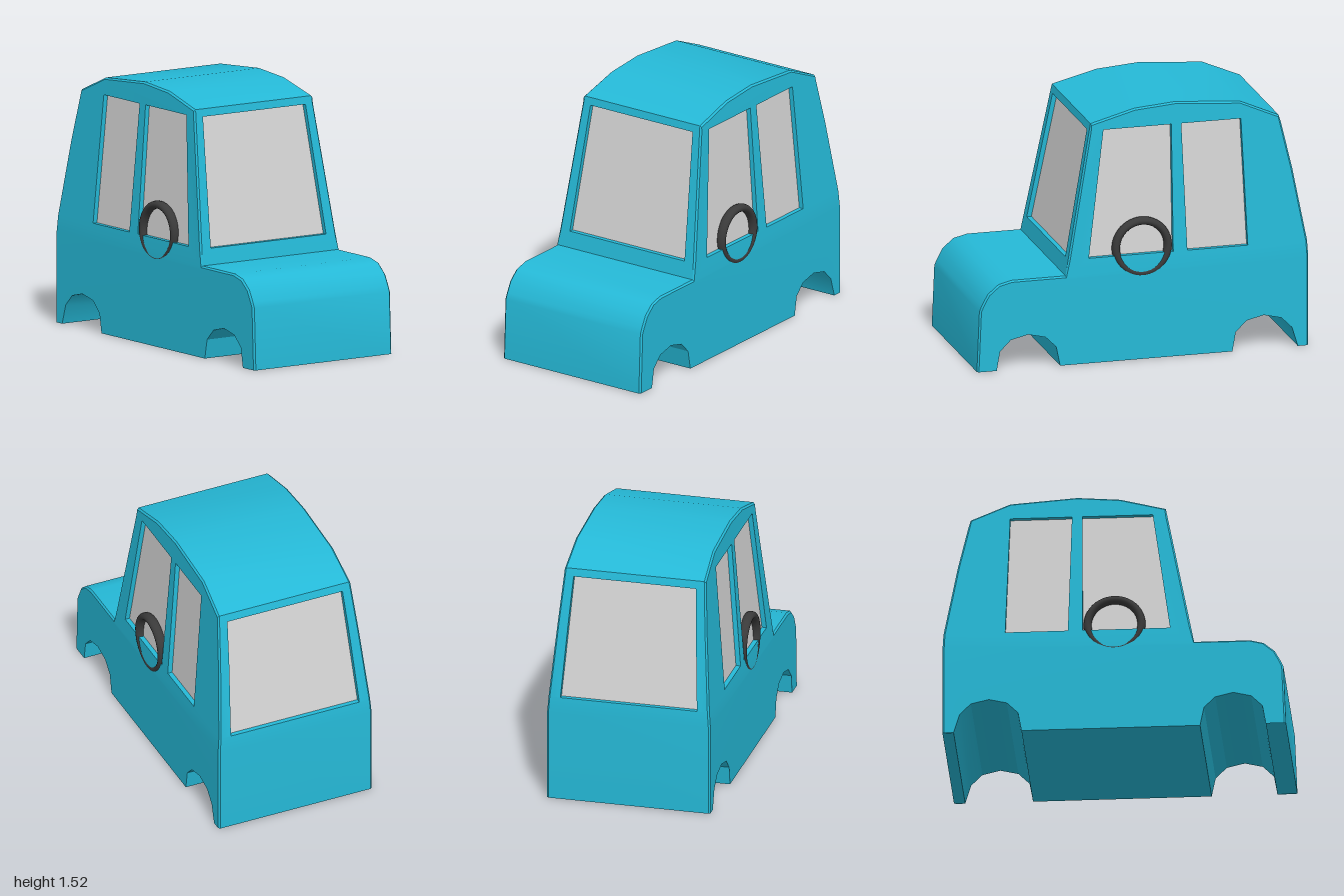
import * as THREE from 'three';
import { toCreasedNormals } from 'three/addons/utils/BufferGeometryUtils.js';

const BELT = 0.54, CHAMFER = 0.01, DEPTH = 0.028;
const SILL = 0.635, HEAD = 1.385, REAR_HEAD = 1.345;

// half width of the body, tapering above the belt line
const halfWidth = y => 0.49 - Math.max(0, y - BELT) * 0.078;
// half width of the front and rear window openings
const openWidth = y => 0.41 - (y - SILL) * 0.06;

// side outline as [z, y], from the front bumper over the roof to the back
const TOP = [
  [1, 0], [0.985, 0.365], [0.97, 0.4], [0.935, 0.465], [0.87, 0.52], [0.79, BELT],
  [0.465, BELT], [0.447, SILL], [0.304, HEAD], [0.295, 1.43],
  [0.03, 1.5], [-0.22, 1.52], [-0.61, 1.49], [-0.84, 1.39],
  [-0.853, REAR_HEAD], [-0.913, 1.08], [-0.995, SILL], [-1, BELT], [-1, 0],
];
const CORNER = 6, BACK = 17;
const WINDSCREEN = [7, 8], REAR = [14, 16];

// wheel arches along the underside, back to front
const ARCH = [[-0.205, 0], [-0.17, 0.115], [-0.105, 0.18], [0, 0.205], [0.105, 0.18], [0.17, 0.115], [0.19, 0]];
const UNDER = [
  ...ARCH.map(([z, y]) => [z - 0.73, y]),
  ...ARCH.map(([z, y], i) => [i ? z + 0.693 : 0.5, y]),
];

const SIDE_WINDOWS = [
  [[0.22, 1.39], [0.325, SILL], [-0.185, SILL], [-0.19, 1.39]],
  [[-0.25, 1.39], [-0.27, SILL], [-0.635, SILL], [-0.61, 1.39]],
];

// collects triangles and turns them into a mesh
class Skin {
  pos = [];
  tri(...pts) { pts.forEach(p => this.pos.push(...p)); }
  quad(a, b, c, d) { this.tri(a, b, c); this.tri(a, c, d); }
  mirrorTri(a, b, c) {
    const m = ([x, y, z]) => [-x, y, z];
    this.tri(a, b, c);
    this.tri(m(c), m(b), m(a));
  }
  mirrorQuad(a, b, c, d) { this.mirrorTri(a, b, c); this.mirrorTri(a, c, d); }
  mesh(name, material) {
    const g = new THREE.BufferGeometry();
    g.setAttribute('position', new THREE.Float32BufferAttribute(this.pos, 3));
    const mesh = new THREE.Mesh(toCreasedNormals(g, 0.5), material);
    mesh.name = name;
    return mesh;
  }
}

// outline moved inward for the chamfered edge
function insetOutline() {
  return TOP.map(([z, y], i) => {
    const a = TOP[Math.max(0, i - 1)], b = TOP[Math.min(TOP.length - 1, i + 1)];
    const dz = b[0] - a[0], dy = b[1] - a[1], l = Math.hypot(dz, dy);
    return [z - dy / l * CHAMFER, y === 0 ? 0 : y + dz / l * CHAMFER];
  });
}

// flat side panel with holes, on both sides
function addPanel(skin, contour, holes) {
  const v = list => list.map(([z, y]) => new THREE.Vector2(z, y));
  const all = [contour, ...holes].flat();
  const at = i => [halfWidth(all[i][1]), all[i][1], all[i][0]];
  for (const [i, j, k] of THREE.ShapeUtils.triangulateShape(v(contour), holes.map(v))) {
    const [a, b, c] = [all[i], all[j], all[k]];
    const turn = (b[0] - a[0]) * (c[1] - a[1]) - (b[1] - a[1]) * (c[0] - a[0]);
    if (turn < 0) skin.mirrorTri(at(i), at(j), at(k));
    else skin.mirrorTri(at(i), at(k), at(j));
  }
}

// recessed front or rear window spanning the outline rows first..last
function addEndWindow(body, glass, [first, last], dir) {
  const [z0, y0] = TOP[first], [z1, y1] = TOP[last];
  const inner = y => z0 + (z1 - z0) * (y - y0) / (y1 - y0) - dir * DEPTH;
  const out = (i, s) => [s * openWidth(TOP[i][1]), TOP[i][1], TOP[i][0]];
  const ins = (i, s) => [s * openWidth(TOP[i][1]), TOP[i][1], inner(TOP[i][1])];
  for (let i = first; i < last; i++)
    body.mirrorQuad(out(i, 1), out(i + 1, 1), ins(i + 1, 1), ins(i, 1));
  body.quad(out(first, -1), out(first, 1), ins(first, 1), ins(first, -1));
  body.quad(out(last, 1), out(last, -1), ins(last, -1), ins(last, 1));
  glass.quad(ins(first, 1), ins(last, 1), ins(last, -1), ins(first, -1));
}

export function createModel() {
  const paint = new THREE.MeshStandardMaterial({ color: 0x25b9d7, side: THREE.DoubleSide });
  paint.name = 'bluePaint';
  const pane = new THREE.MeshStandardMaterial({ color: 0xd4d4d4, side: THREE.DoubleSide });
  pane.name = 'paleGlass';
  const rubber = new THREE.MeshStandardMaterial({ color: 0x3a3a3a });
  rubber.name = 'darkRing';

  const shell = new Skin(), sides = new Skin(), reveals = new Skin();
  const endGlass = new Skin(), sideGlass = new Skin();
  const inset = insetOutline();

  // shell across the car: bonnet, roof, back, underside and arches
  const loop = [...TOP, ...UNDER];
  const edge = i => halfWidth(loop[i][1]) - (i < TOP.length ? CHAMFER : 0);
  const pt = (i, x) => [x, loop[i][1], loop[i][0]];
  loop.forEach((_, i) => {
    const j = (i + 1) % loop.length;
    const open = [WINDSCREEN, REAR].some(([a, b]) => i >= a && i < b);
    if (open) {
      shell.mirrorQuad(pt(i, edge(i)), pt(j, edge(j)), pt(j, openWidth(loop[j][1])), pt(i, openWidth(loop[i][1])));
    } else {
      shell.quad(pt(i, edge(i)), pt(j, edge(j)), pt(j, -edge(j)), pt(i, -edge(i)));
    }
  });

  // chamfer between shell and side panels
  const rim = i => [halfWidth(inset[i][1]), inset[i][1], inset[i][0]];
  for (let i = 0; i < TOP.length - 1; i++)
    sides.mirrorQuad(rim(i), rim(i + 1), pt(i + 1, edge(i + 1)), pt(i, edge(i)));

  // lower and upper side panels
  addPanel(sides, [...inset.slice(0, CORNER + 1), ...inset.slice(BACK), ...UNDER], []);
  addPanel(sides, inset.slice(CORNER, BACK + 1), SIDE_WINDOWS);

  // recessed side windows
  for (const win of SIDE_WINDOWS) {
    const out = win.map(([z, y]) => [halfWidth(y), y, z]);
    const ins = out.map(([x, y, z]) => [x - DEPTH, y, z]);
    out.forEach((p, i) => {
      const j = (i + 1) % 4;
      reveals.mirrorQuad(p, out[j], ins[j], ins[i]);
    });
    sideGlass.mirrorQuad(...ins);
  }

  addEndWindow(reveals, endGlass, WINDSCREEN, 1);
  addEndWindow(reveals, endGlass, REAR, -1);

  const model = new THREE.Group();
  model.name = 'carBody';
  model.add(
    shell.mesh('bodyShell', paint), sides.mesh('sidePanels', paint),
    reveals.mesh('windowFrames', paint),
    endGlass.mesh('frontAndRearGlass', pane), sideGlass.mesh('sideGlass', pane),
  );

  // dark rings half sunk into each side
  for (const [name, x] of [['leftRing', 0.463], ['rightRing', -0.46]]) {
    const ring = new THREE.Mesh(new THREE.TorusGeometry(0.157, 0.0235, 16, 48), rubber);
    ring.name = name;
    ring.scale.z = 1.3;
    ring.rotation.y = Math.PI / 2;
    ring.position.set(x, 0.675, 0);
    model.add(ring);
  }
  return model;
}
